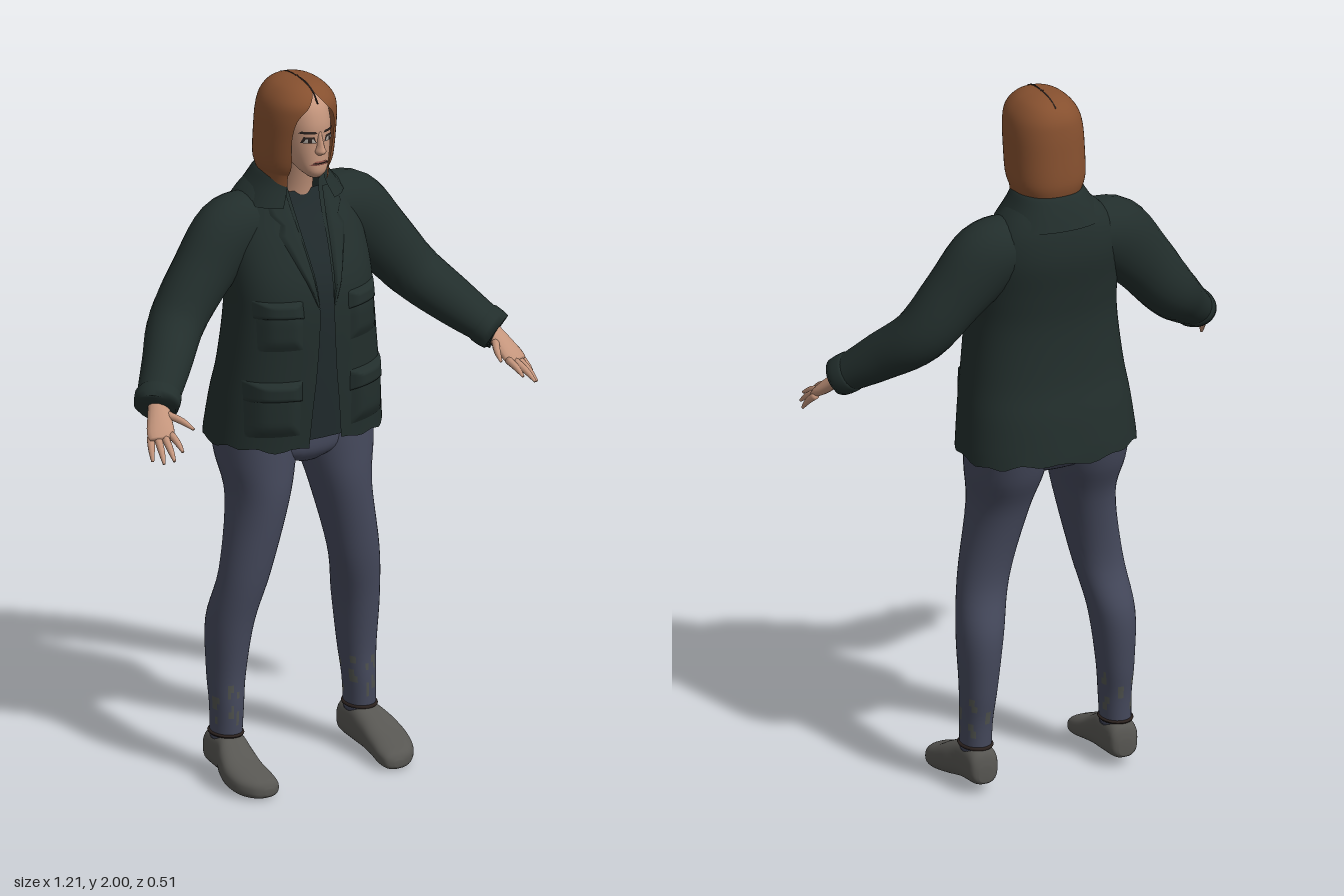
import * as THREE from 'three';

const mat = (name, color, side = THREE.FrontSide) => {
  const m = new THREE.MeshStandardMaterial({ color, side });
  m.name = name;
  return m;
};
const D = THREE.DoubleSide;
const M = {
  jacket: mat('dark green cloth', 0x222e2c, D),
  shirt: mat('dark shirt', 0x202a2c, D),
  denim: mat('blue grey denim', 0x45495c),
  shoe: mat('grey canvas', 0x575652),
  worn: mat('worn grey', 0x50534f),
  skin: mat('skin', 0xc4957c),
  hair: mat('auburn hair', 0x86502f, D),
  dark: mat('dark detail', 0x2a211e, D),
  eye: mat('eye white', 0xa9a39c, D),
  lip: mat('lips', 0x95594f, D),
};

// Catmull-Rom refinement of a table of section rows
function smooth(rows, n = 5) {
  const out = [], at = i => rows[Math.max(0, Math.min(rows.length - 1, i))];
  for (let i = 0; i < rows.length - 1; i++)
    for (let k = 0; k < n; k++) {
      const t = k / n;
      out.push(rows[i].map((b, c) => {
        const a = at(i - 1)[c], d = at(i + 1)[c], e = at(i + 2)[c];
        return b + 0.5 * t * (d - a + t * (2 * a - 5 * b + 4 * d - e + t * (3 * (b - d) + e - a)));
      }));
    }
  out.push(rows[rows.length - 1]);
  return out;
}

// Skin over rings of [x, y, z]; pick(i, j) chooses a material group per face
function loft(rings, { closed = true, caps = closed, pick = () => 0 } = {}) {
  const n = rings[0].length, pos = rings.flat(2), sets = [[], []];
  const cols = closed ? n : n - 1;
  for (let i = 0; i < rings.length - 1; i++)
    for (let j = 0; j < cols; j++) {
      const a = i * n + j, b = i * n + (j + 1) % n;
      sets[pick(i, j)].push(a, b, b + n, a, b + n, a + n);
    }
  if (caps) [0, rings.length - 1].forEach((r, top) => {
    const id = pos.length / 3;
    for (let c = 0; c < 3; c++) pos.push(rings[r].reduce((s, p) => s + p[c], 0) / n);
    for (let j = 0; j < n; j++) {
      const a = r * n + j, b = r * n + (j + 1) % n;
      sets[0].push(id, ...(top ? [a, b] : [b, a]));
    }
  });
  const g = new THREE.BufferGeometry();
  g.setAttribute('position', new THREE.Float32BufferAttribute(pos, 3));
  g.setIndex([...sets[0], ...sets[1]]);
  if (sets[1].length) {
    g.addGroup(0, sets[0].length, 0);
    g.addGroup(sets[0].length, sets[1].length, 1);
  }
  g.computeVertexNormals();
  return g;
}

// Upright body from rows [y, centreX, halfWidth, zFront, zBack, frontGap]
function body(rows, { p = 0.85, n = 36, open = false, hem, ...opt } = {}) {
  const rings = smooth(rows).map(([y, cx, rx, zf, zb, gap = 0], i) => Array.from({ length: n }, (_, j) => {
    const g = open ? Math.asin(Math.min(1, Math.max(0, gap) / rx) ** (1 / p)) : 0;
    const t = open ? g + (2 * Math.PI - 2 * g) * j / (n - 1) : 2 * Math.PI * j / n;
    const s = Math.sin(t), c = Math.cos(t);
    return [cx + rx * Math.sign(s) * Math.abs(s) ** p,
      y + (hem && i === 0 ? hem(t) : 0),
      (zf + zb) / 2 + (zf - zb) / 2 * Math.sign(c) * Math.abs(c) ** p];
  }));
  return loft(rings, { closed: !open, ...opt });
}

// Limb along rows [x, y, z, horizontalRadius, otherRadius]
function limb(rows, n = 20, k = 5) {
  const s = smooth(rows, k), v = s.map(r => new THREE.Vector3(r[0], r[1], r[2]));
  return loft(s.map((r, i) => {
    const T = v[Math.min(i + 1, v.length - 1)].clone().sub(v[Math.max(i - 1, 0)]).normalize();
    const U = new THREE.Vector3(0, 1, 0).cross(T).normalize(), V = U.clone().cross(T);
    return Array.from({ length: n }, (_, j) => {
      const t = 2 * Math.PI * j / n;
      return v[i].clone().addScaledVector(U, r[3] * Math.sin(t)).addScaledVector(V, r[4] * Math.cos(t)).toArray();
    });
  }));
}

// Front depth of a body at (x, y)
function frontZ(rows, x, y, p = 0.85) {
  let i = 0;
  while (i < rows.length - 2 && rows[i + 1][0] < y) i++;
  const t = (y - rows[i][0]) / (rows[i + 1][0] - rows[i][0]);
  const [, , rx, zf, zb] = rows[i].map((a, c) => a + (rows[i + 1][c] - a) * t);
  const u = Math.min(1, Math.abs(x) / rx);
  return (zf + zb) / 2 + (zf - zb) / 2 * (1 - u ** (2 / p)) ** (p / 2);
}

// Patch that follows the front of a body, between two edges given as functions of height
function patch(rows, y0, y1, inner, outer, lift, base = 0.002, n = 12) {
  return loft(Array.from({ length: n + 1 }, (_, i) => Array.from({ length: n + 1 }, (_, j) => {
    const v = i / n, u = j / n, y = y0 + (y1 - y0) * v;
    const x = inner(v) + (outer(v) - inner(v)) * u;
    const edge = Math.min(1, 5 * Math.min(u, 1 - u, v, 1 - v));
    return [x, y, frontZ(rows, x, y) + base + lift * edge];
  })), { closed: false });
}

function mirrored(g) {
  const m = g.clone(), p = m.attributes.position, ix = m.index.array;
  for (let i = 0; i < p.count; i++) p.setX(i, -p.getX(i));
  for (let i = 0; i < ix.length; i += 3) [ix[i], ix[i + 1]] = [ix[i + 1], ix[i]];
  m.computeVertexNormals();
  return m;
}

export function createModel() {
  const root = new THREE.Group();
  root.name = 'standingFigure';
  const add = (name, geo, m) => {
    const mesh = new THREE.Mesh(geo, m);
    mesh.name = name;
    root.add(mesh);
  };
  const pair = (name, geo, m) => {
    add(name + 'Left', geo, m);
    add(name + 'Right', mirrored(geo), m);
  };

  // Jacket shell, open down the front, over a shirt
  const torso = [
    [0.985, 0, 0.252, 0.1, -0.255, 0.05], [1.1, 0, 0.24, 0.105, -0.235, 0.04],
    [1.2, 0, 0.226, 0.108, -0.212, 0.03], [1.35, 0, 0.21, 0.11, -0.2, 0.022],
    [1.45, 0, 0.207, 0.095, -0.208, 0.025], [1.55, 0, 0.2, 0.05, -0.222, 0.035],
    [1.62, 0, 0.18, 0.012, -0.218, 0.04], [1.67, 0, 0.145, -0.01, -0.205, 0.045],
    [1.71, 0, 0.1, -0.02, -0.185, 0.05]];
  const ragged = t => 0.01 * Math.sin(t * 9) * Math.sin(t * 4 + 1) - 0.006;
  add('jacketBody', body(torso, { open: true, n: 60, hem: ragged }), M.jacket);
  const inset = torso.slice(0, 8).map(r => [r[0] + 0.01, 0, r[2] - 0.014, r[3] - 0.01, r[4] + 0.014]);
  add('shirt', body(inset, { caps: false }), M.shirt);
  add('collar', body([[1.65, 0, 0.15, 0.025, -0.22, 0.08], [1.7, 0, 0.115, 0.008, -0.2, 0.06],
    [1.735, 0, 0.09, 0, -0.178, 0.055], [1.7, 0, 0.08, -0.01, -0.165, 0.05]], { open: true }), M.jacket);
  pair('lapel', patch(torso, 1.38, 1.68, v => 0.022 + 0.035 * v,
    v => 0.026 + 0.085 * Math.min(1, v * 1.35) - (v > 0.7 && v < 0.8 ? 0.02 : 0), 0.008, 0.004), M.jacket);
  pair('chestPocket', patch(torso, 1.27, 1.4, () => 0.075, () => 0.185, 0.012), M.jacket);
  pair('chestFlap', patch(torso, 1.36, 1.41, () => 0.07, () => 0.19, 0.02), M.jacket);
  pair('hipPocket', patch(torso, 1.02, 1.17, () => 0.08, () => 0.215, 0.016), M.jacket);
  pair('hipFlap', patch(torso, 1.12, 1.18, () => 0.075, () => 0.215, 0.024), M.jacket);

  // Sleeves with a folded cuff
  pair('sleeve', limb([[0.11, 1.585, -0.1, 0.09, 0.09], [0.19, 1.56, -0.1, 0.088, 0.105],
    [0.28, 1.465, -0.09, 0.08, 0.09], [0.37, 1.355, -0.065, 0.078, 0.078],
    [0.45, 1.275, 0.015, 0.068, 0.066], [0.515, 1.215, 0.08, 0.059, 0.052],
    [0.532, 1.2, 0.097, 0.058, 0.05]], 24), M.jacket);
  pair('cuff', limb([[0.505, 1.225, 0.068, 0.055, 0.05], [0.512, 1.218, 0.077, 0.064, 0.056],
    [0.535, 1.197, 0.102, 0.061, 0.053], [0.533, 1.198, 0.1, 0.05, 0.042]], 24, 2), M.jacket);

  // Hands: palm, four fingers and a thumb
  pair('palm', limb([[0.515, 1.215, 0.08, 0.026, 0.022], [0.535, 1.18, 0.12, 0.032, 0.02],
    [0.553, 1.145, 0.158, 0.038, 0.017], [0.56, 1.13, 0.175, 0.032, 0.012]], 16, 3), M.skin);
  const fingers = [
    ['thumb', [0.518, 1.182, 0.125], [0.495, 1.172, 0.175], [0.483, 1.16, 0.215]],
    ['indexFinger', [0.53, 1.14, 0.175], [0.533, 1.13, 0.215], [0.535, 1.115, 0.245]],
    ['middleFinger', [0.549, 1.135, 0.175], [0.56, 1.117, 0.222], [0.567, 1.098, 0.255]],
    ['ringFinger', [0.566, 1.133, 0.165], [0.578, 1.11, 0.205], [0.586, 1.086, 0.232]],
    ['littleFinger', [0.58, 1.133, 0.15], [0.592, 1.108, 0.175], [0.599, 1.082, 0.193]]];
  for (const [name, a, b, c] of fingers)
    pair(name, limb([[...a, 0.011, 0.011], [...b, 0.009, 0.009], [...c, 0.004, 0.004]], 10, 3), M.skin);

  // Trousers with worn patches near the ankles
  add('hips', body([[0.905, 0, 0.05, 0.02, -0.11], [0.94, 0, 0.16, 0.045, -0.175],
    [1, 0, 0.225, 0.05, -0.215], [1.1, 0, 0.21, 0.06, -0.19]]), M.denim);
  pair('trouserLeg', body([[0.11, 0.21, 0.041, -0.025, -0.125], [0.2, 0.208, 0.043, -0.02, -0.13],
    [0.3, 0.205, 0.05, -0.02, -0.145], [0.45, 0.197, 0.062, 0, -0.15], [0.6, 0.17, 0.07, 0.03, -0.112],
    [0.8, 0.13, 0.081, 0.055, -0.145], [0.92, 0.122, 0.104, 0.055, -0.195], [1.02, 0.12, 0.115, 0.05, -0.22]],
  { p: 0.95, pick: (i, j) => (i > 2 && i < 9 && Math.sin(j * 1.1) + Math.sin(i * 1.7 + j * 0.6) > 1 ? 1 : 0) }),
  [M.denim, M.worn]);

  // Shoes: sections run heel to toe, then tip forward
  const shoe = body([[-0.142, 0.21, 0.02, -0.035, -0.08], [-0.125, 0.21, 0.042, -0.025, -0.125],
    [-0.05, 0.212, 0.047, -0.018, -0.132], [0, 0.222, 0.055, -0.012, -0.112],
    [0.05, 0.226, 0.06, -0.006, -0.085], [0.1, 0.219, 0.057, -0.001, -0.065],
    [0.135, 0.208, 0.04, -0.003, -0.05], [0.147, 0.203, 0.012, -0.012, -0.03]], { p: 0.75 });
  shoe.rotateX(Math.PI / 2);
  pair('shoe', shoe, M.shoe);
  const opening = new THREE.TorusGeometry(1, 0.12, 8, 28);
  opening.rotateX(Math.PI / 2).scale(0.042, 0.04, 0.052).translate(0.21, 0.128, -0.075);
  pair('shoeOpening', opening, M.dark);

  // Head, neck and nose
  const head = [[1.742, 0, 0.018, 0.06, 0.01], [1.762, 0, 0.038, 0.073, -0.03], [1.8, 0, 0.056, 0.073, -0.1],
    [1.85, 0, 0.067, 0.071, -0.14], [1.9, 0, 0.069, 0.069, -0.15], [1.95, 0, 0.06, 0.048, -0.14],
    [1.98, 0, 0.03, 0, -0.1]];
  add('head', body(head, { p: 0.9 }), M.skin);
  add('neck', body([[1.6, 0, 0.06, -0.02, -0.14], [1.68, 0, 0.046, -0.012, -0.11],
    [1.8, 0, 0.046, 0.02, -0.09]], { p: 1 }), M.skin);
  add('nose', body([[1.81, 0, 0.01, 0.074, 0.04], [1.822, 0, 0.016, 0.092, 0.04],
    [1.84, 0, 0.011, 0.086, 0.04], [1.88, 0, 0.007, 0.071, 0.04]], { p: 1, n: 16 }), M.skin);

  // Painted face details
  const facePatch = (y, h, x0, x1, lift, tilt = 0) => {
    const g = patch(head, y - h, y + h, v => x0 + (v - 0.5) * tilt, v => x1 - (v - 0.5) * tilt, 0.001, lift, 6);
    return g;
  };
  pair('lid', facePatch(1.857, 0.009, 0.015, 0.046, 0.002, 0.006), M.dark);
  pair('eyeWhite', facePatch(1.855, 0.0055, 0.018, 0.042, 0.004, 0.006), M.eye);
  pair('iris', facePatch(1.855, 0.0055, 0.026, 0.035, 0.005), M.dark);
  pair('brow', facePatch(1.878, 0.0035, 0.012, 0.05, 0.003, 0.006), M.dark);
  add('mouth', facePatch(1.789, 0.006, -0.023, 0.023, 0.003, 0.014), M.lip);
  add('mouthLine', facePatch(1.789, 0.0014, -0.023, 0.023, 0.005), M.dark);

  // Bobbed hair, parted in the middle, longer at the front
  add('hair', body([[1.732, 0, 0.094, 0.02, -0.176, 0.062], [1.77, 0, 0.105, 0.035, -0.183, 0.06],
    [1.85, 0, 0.106, 0.05, -0.179, 0.065], [1.91, 0, 0.103, 0.06, -0.174, 0.056],
    [1.95, 0, 0.092, 0.06, -0.165, 0.025], [1.98, 0, 0.068, 0.035, -0.142, 0.003],
    [1.995, 0, 0.038, 0, -0.105, 0.001], [2, 0, 0.004, -0.05, -0.06, 0.001]],
  { open: true, n: 48, p: 0.88, hem: t => -0.035 * Math.max(0, Math.cos(t)) }), M.hair);
  const part = new THREE.CatmullRomCurve3([[1.955, 0.058], [1.98, 0.035], [1.995, 0], [1.9985, -0.055],
    [1.994, -0.105], [1.98, -0.142]].map(([y, z]) => new THREE.Vector3(0, y, z)));
  add('hairParting', new THREE.TubeGeometry(part, 24, 0.0025, 6), M.dark);

  return root;
}
